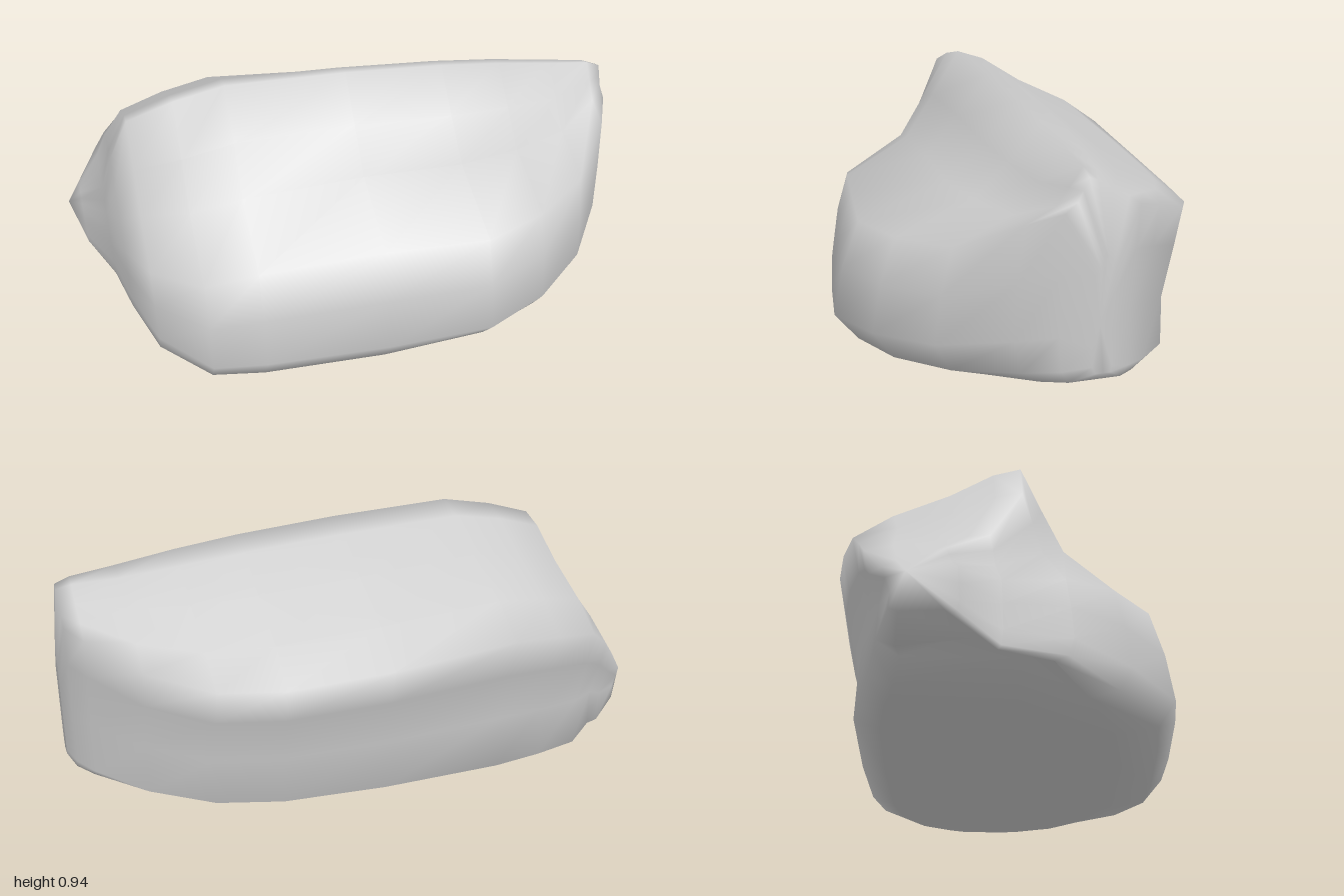
import * as THREE from 'three';

// Stations along the rock: x, ridge height, front z, back z,
// underside height, hollow height, ledge height, back edge height
const stations = [
  [-0.95, 0.43, -0.22, -0.44, 0.22, 0.23, 0.37, 0.36],
  [-0.87, 0.53, -0.09, -0.5, 0.15, 0.19, 0.38, 0.46],
  [-0.83, 0.71, 0.12, -0.52, 0.14, 0.28, 0.41, 0.51],
  [-0.76, 0.85, 0.3, -0.545, 0.06, 0.18, 0.42, 0.57],
  [-0.6, 0.9, 0.46, -0.585, 0.01, 0.1, 0.43, 0.6],
  [-0.42, 0.935, 0.495, -0.61, 0, 0.08, 0.47, 0.62],
  [0, 0.92, 0.56, -0.6, 0.03, 0.09, 0.52, 0.58],
  [0.35, 0.895, 0.605, -0.575, 0.09, 0.1, 0.53, 0.56],
  [0.57, 0.87, 0.52, -0.53, 0.11, 0.12, 0.54, 0.57],
  [0.77, 0.84, 0.37, -0.42, 0.14, 0.15, 0.56, 0.62],
  [0.92, 0.82, 0.17, -0.27, 0.17, 0.17, 0.66, 0.69],
  [0.97, 0.8, 0.05, -0.19, 0.18, 0.18, 0.7, 0.71],
  [0.995, 0.58, -0.04, -0.11, 0.21, 0.21, 0.52, 0.54],
];
const leftTip = [-1, 0.32, -0.37];
const rightTip = [0.985, 0.36, -0.07];
const { lerp } = THREE.MathUtils;

// One closed cross-section of [z, y] points, from the ridge down the front,
// along the underside and up the back
function crossSection([, top, front, back, base, hollow, ledge, edge]) {
  const ridge = Math.min(-0.03, front - 0.04);
  const rearBase = Math.max(base, 0.08);
  const toFront = (t) => lerp(ridge, front, t);
  const toBack = (t) => lerp(ridge, back, t);
  return [
    [ridge, top],
    [toFront(0.2), lerp(top, ledge, 0.36)], // steep face below the ridge
    [toFront(0.4), lerp(top, ledge, 0.7)],
    [toFront(0.86), ledge], // outer rim of the ledge
    [toFront(0.95), lerp(ledge, base, 0.35)], // bulging front wall
    [toFront(1), lerp(ledge, base, 0.72)],
    [toFront(0.88), lerp(ledge, base, 0.93)], // rounded front foot
    [toFront(0.6), base],
    [ridge, hollow], // raised hollow underneath
    [toBack(0.72), rearBase],
    [toBack(0.87), lerp(rearBase, edge, 0.06)], // flared back foot
    [toBack(0.86), lerp(rearBase, edge, 0.4)], // undercut back wall
    [toBack(0.95), lerp(rearBase, edge, 0.75)],
    [back, edge],
    [toBack(0.77), lerp(top, edge, 0.7)], // long back slope
    [toBack(0.43), lerp(top, edge, 0.4)],
    [toBack(0.17), lerp(top, edge, 0.1)],
  ];
}

// Joins the cross-sections into a closed skin with a fan at each end
function loft(rows, startTip, endTip) {
  const rings = rows.map(crossSection);
  const n = rings[0].length;
  const last = (rings.length - 1) * n;
  const start = last + n;
  const positions = [];
  const index = [];
  rings.forEach((ring, i) => ring.forEach(([z, y]) => positions.push(rows[i][0], y, z)));
  positions.push(...startTip, ...endTip);

  for (let j = 0; j < n; j++) {
    const k = (j + 1) % n;
    for (let a = j, b = k; a < last; a += n, b += n) {
      index.push(a, b, a + n, b, b + n, a + n);
    }
    index.push(start, k, j, start + 1, last + j, last + k);
  }

  const geometry = new THREE.BufferGeometry();
  geometry.setAttribute('position', new THREE.Float32BufferAttribute(positions, 3));
  geometry.setIndex(index);
  geometry.computeVertexNormals();
  return geometry;
}

export function createModel() {
  const group = new THREE.Group();
  group.name = 'rock';
  const boulder = new THREE.Mesh(
    loft(stations, leftTip, rightTip),
    new THREE.MeshStandardMaterial({ color: 0xcccccc })
  );
  boulder.name = 'boulder';
  group.add(boulder);
  return group;
}
